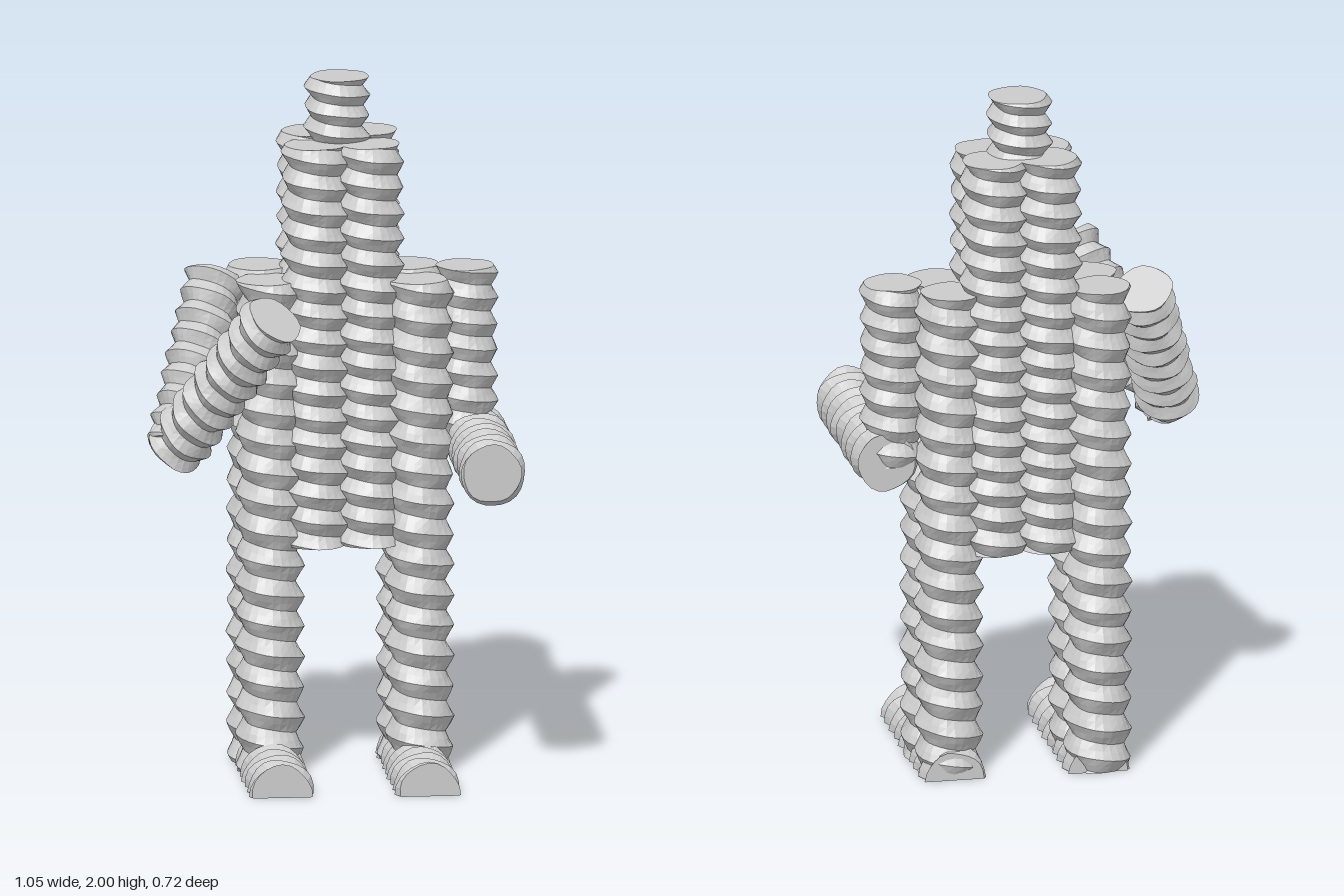
import * as THREE from 'three';

const material = new THREE.MeshStandardMaterial({ color: 0xcccccc, flatShading: true });
const SEGS = 24, ROWS = 4;

// Threaded rod of given length along +y; grid rows follow the helix, ends are cut flat.
function threadedRod(length, pitch, inner, outer) {
  const pos = [], index = [];
  const rows = (Math.ceil(length / pitch) + 1) * ROWS;
  for (let j = 0; j <= rows; j++) {
    for (let i = 0; i <= SEGS; i++) {
      const turn = i / SEGS, angle = turn * Math.PI * 2;
      const y = THREE.MathUtils.clamp((j / ROWS - turn) * pitch, 0, length);
      const phase = y / pitch + turn;
      const ridge = Math.abs((phase - Math.floor(phase)) * 2 - 1);
      // slight wear on the surface
      const wear = 0.002 * Math.sin(5 * angle + y * 41) + 0.0015 * Math.sin(3 * angle - y * 67);
      const r = inner + (outer - inner) * ridge + wear;
      pos.push(r * Math.sin(angle), y, r * Math.cos(angle));
    }
  }
  const w = SEGS + 1;
  for (let j = 0; j < rows; j++) {
    for (let i = 0; i < SEGS; i++) {
      const a = j * w + i, d = a + w;
      index.push(a, a + 1, d + 1, a, d + 1, d);
    }
  }
  // end caps
  const bottom = pos.length / 3, top = bottom + 1;
  pos.push(0, 0, 0, 0, length, 0);
  for (let i = 0; i < SEGS; i++) {
    index.push(bottom, i + 1, i, top, rows * w + i, rows * w + i + 1);
  }
  const g = new THREE.BufferGeometry();
  g.setAttribute('position', new THREE.Float32BufferAttribute(pos, 3));
  g.setIndex(index);
  return g;
}

// Rod between two points
function rod(name, from, to, pitch = 0.075, outer = 0.098, inner = 0.076) {
  const a = new THREE.Vector3(...from);
  const dir = new THREE.Vector3(...to).sub(a);
  const g = threadedRod(dir.length(), pitch, inner, outer);
  const q = new THREE.Quaternion().setFromUnitVectors(new THREE.Vector3(0, 1, 0), dir.normalize());
  g.applyQuaternion(q).translate(a.x, a.y, a.z);
  // anything below the floor is cut flat
  const p = g.attributes.position;
  for (let i = 0; i < p.count; i++) p.setY(i, Math.max(0, p.getY(i)));
  g.computeVertexNormals();
  const mesh = new THREE.Mesh(g, material);
  mesh.name = name;
  return mesh;
}

export function createModel() {
  const model = new THREE.Group();
  model.name = 'rodFigure';
  const column = (name, x, z, y0, y1, pitch) =>
    model.add(rod(name, [x, y0, z], [x, y1, z], pitch));

  // Legs run up into the sides of the torso
  column('rightLegFront', -0.165, -0.11, 0, 1.43, 0.088);
  column('rightLegBack', -0.175, -0.265, 0, 1.44, 0.088);
  column('leftLegFront', 0.26, -0.085, 0, 1.43, 0.088);
  column('leftLegBack', 0.25, -0.235, 0, 1.44, 0.088);

  // Middle of the torso up to the neck
  for (const [side, x] of [['Right', -0.035], ['Left', 0.12]]) {
    column('torsoFront' + side, x, -0.105, 0.66, 1.82, 0.075);
    column('torsoBack' + side, x, -0.245, 0.66, 1.83, 0.075);
  }

  // Head
  model.add(rod('head', [0.035, 1.78, -0.19], [0.035, 2, -0.19], 0.06, 0.094, 0.073));

  // Feet, half rods lying on the floor
  model.add(rod('rightFoot', [-0.165, 0.002, -0.33], [-0.165, 0.002, 0.26], 0.07, 0.095, 0.078));
  model.add(rod('leftFoot', [0.25, 0.002, -0.32], [0.25, 0.002, 0.28], 0.07, 0.095, 0.078));

  // Left arm, forearm pointing forward
  model.add(rod('leftUpperArm', [0.4, 0.92, -0.165], [0.4, 1.45, -0.165], 0.075, 0.092, 0.073));
  model.add(rod('leftForearm', [0.43, 0.945, -0.235], [0.43, 0.945, 0.352], 0.07, 0.094, 0.073));

  // Right arm, bent with the forearm raised
  model.add(rod('rightUpperArm', [-0.445, 0.975, 0.03], [-0.305, 1.41, -0.25], 0.065, 0.092, 0.073));
  model.add(rod('rightForearm', [-0.45, 0.97, 0.015], [-0.195, 1.4, 0.28], 0.065, 0.092, 0.073));
  return model;
}
